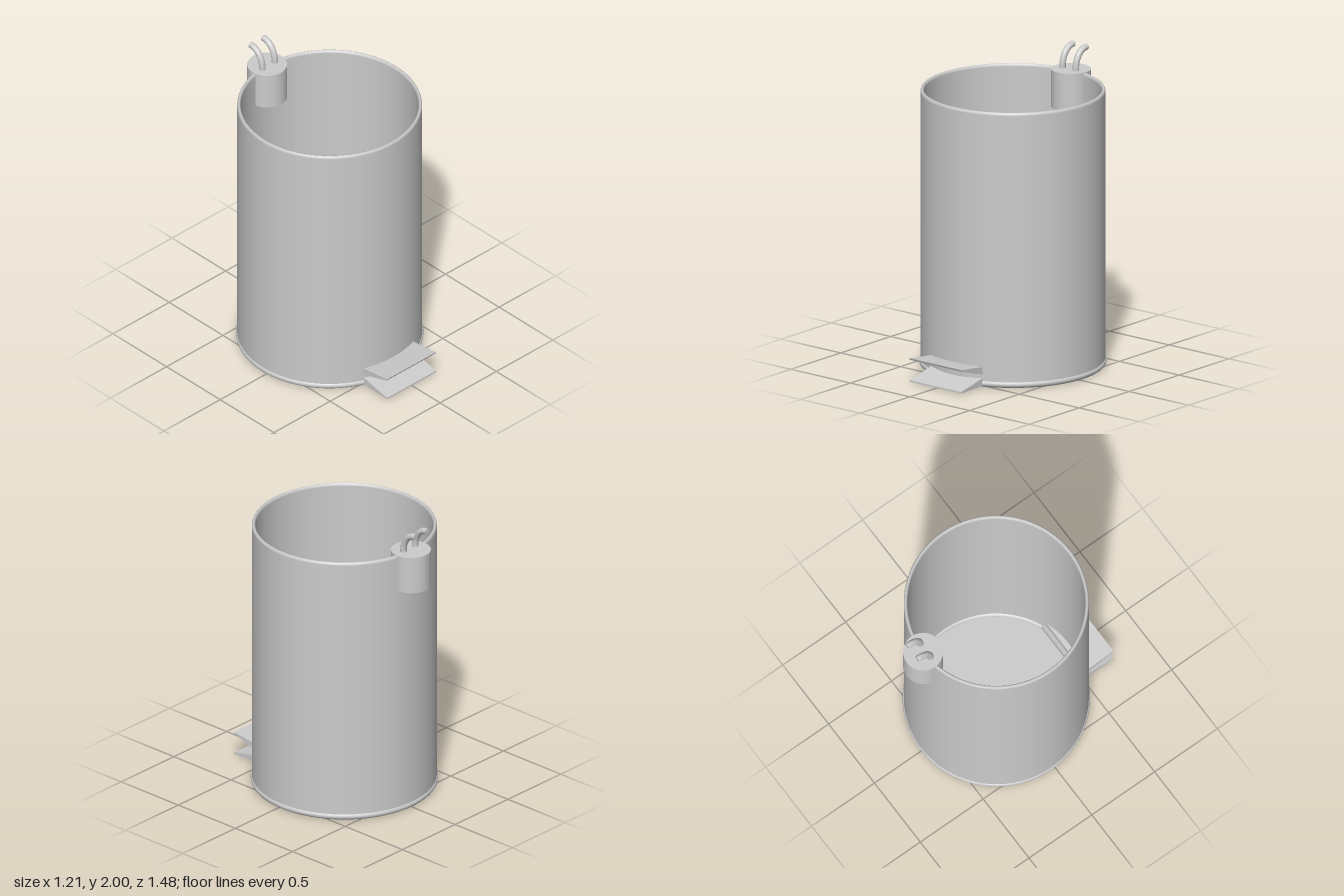
import * as THREE from 'three';

const BODY_Z = -0.03;

export function createModel() {
  const model = new THREE.Group();
  const material = new THREE.MeshStandardMaterial({ color: 0xcccccc });
  const thin = new THREE.MeshStandardMaterial({ color: 0xcccccc, side: THREE.DoubleSide });

  const add = (name, geometry, x, y, z, mat = material) => {
    const mesh = new THREE.Mesh(geometry, mat);
    mesh.name = name;
    mesh.position.set(x, y, z);
    model.add(mesh);
    return mesh;
  };

  // Open bin wall with a small rounded lip
  const wall = [
    [0.572, 0.02], [0.572, 1.825], [0.576, 1.836], [0.584, 1.84],
    [0.591, 1.836], [0.595, 1.825], [0.595, 0.02],
  ].map(([r, y]) => new THREE.Vector2(r, y));
  // Repeated corner points keep the straight walls evenly shaded
  wall.splice(1, 0, new THREE.Vector2(0.572, 1.82));
  wall.splice(wall.length - 1, 0, new THREE.Vector2(0.595, 1.82));
  add('binWall', new THREE.LatheGeometry(wall, 96), 0, 0, BODY_Z, thin);

  // Floor and rounded base ring
  add('binFloor', new THREE.CylinderGeometry(0.58, 0.58, 0.008, 96), 0, 0.02, BODY_Z);
  const ring = add('baseRing', new THREE.TorusGeometry(0.58, 0.023, 16, 96), 0, 0.023, BODY_Z);
  ring.rotation.x = Math.PI / 2;

  // Wedge pedals: side profile given as [z, y], extruded across the width
  const addPedal = (name, profile) => {
    const shape = new THREE.Shape(profile.map(([z, y]) => new THREE.Vector2(-z, y)));
    const geometry = new THREE.ExtrudeGeometry(shape, { depth: 0.435, bevelEnabled: false });
    geometry.rotateY(Math.PI / 2);
    add(name, geometry, -0.2225, 0, 0);
  };
  addPedal('upperPedal', [[0.74, 0.16], [0.735, 0.148], [0.51, 0.078], [0.51, 0.132]]);
  addPedal('lowerPedal', [[0.74, 0.013], [0.74, 0.003], [0.486, 0.008], [0.486, 0.069]]);

  // Hinge barrel straddling the back rim
  add('hingeBarrel', new THREE.CylinderGeometry(0.129, 0.129, 0.252, 48), 0, 1.716, -0.613);

  // Pair of bent rods rising from the barrel and curving backwards
  const path = new THREE.CurvePath();
  path.add(new THREE.LineCurve3(new THREE.Vector3(0, 1.82, -0.597), new THREE.Vector3(0, 1.86, -0.597)));
  path.add(new THREE.CubicBezierCurve3(
    new THREE.Vector3(0, 1.86, -0.597), new THREE.Vector3(0, 1.93, -0.602),
    new THREE.Vector3(0, 1.979, -0.645), new THREE.Vector3(0, 1.979, -0.703)));
  for (const x of [-0.058, 0.053]) {
    add('bentRod', new THREE.TubeGeometry(path, 24, 0.021, 16), x, 0, 0);
    const cap = add('rodEnd', new THREE.CircleGeometry(0.021, 16), x, 1.979, -0.703);
    cap.rotation.y = Math.PI;
  }

  return model;
}
